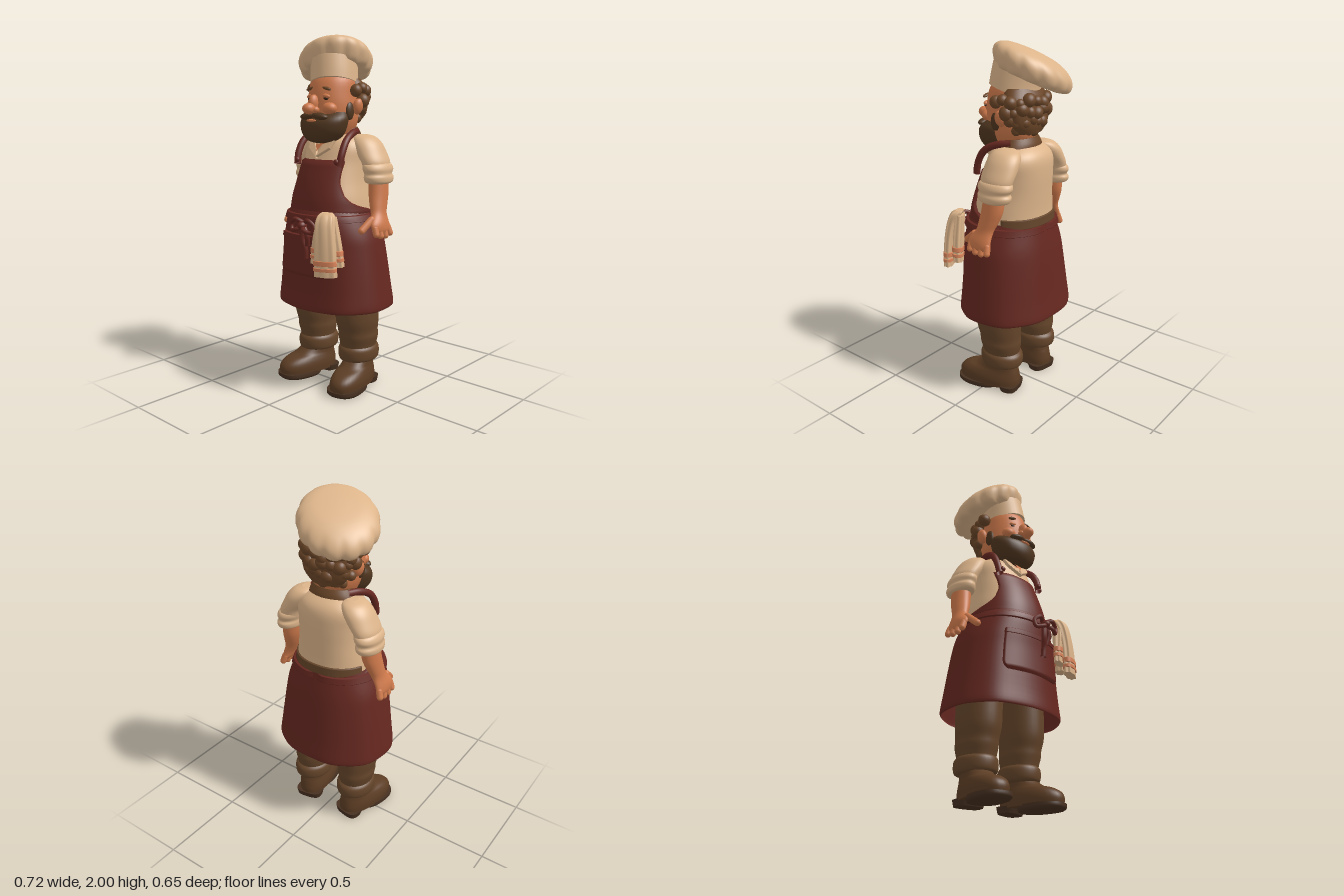
import * as THREE from 'three';

const mat = (name, color, side = THREE.FrontSide) => {
  const m = new THREE.MeshStandardMaterial({ color, side });
  m.name = name;
  return m;
};
const CREAM = mat('cream cloth', 0xdcb48a, THREE.DoubleSide);
const SKIN = mat('skin', 0xcf7a4c);
const MAROON = mat('maroon apron', 0x662820, THREE.DoubleSide);
const PANTS = mat('brown trousers', 0x65452a);
const BOOT = mat('boot leather', 0x5c3d24);
const SOLE = mat('boot sole', 0x463020);
const BEARD = mat('dark beard', 0x513720);
const HAIR = mat('brown hair', 0x6b4628, THREE.DoubleSide);
const DARK = mat('eye brown', 0x3a2416);
const STRIPE = mat('orange stripe', 0xd8835a, THREE.DoubleSide);

// Rings are [y, centre x, half width, back z, front z]; t runs along the list.
function ringAt(rings, t) {
  const i = Math.min(Math.floor(t), rings.length - 2), f = t - i;
  const p = (k) => rings[Math.max(0, Math.min(rings.length - 1, k))];
  const [a, b, c, d] = [p(i - 1), p(i), p(i + 1), p(i + 2)];
  return b.map((v, k) => v + 0.5 * f * (c[k] - a[k]
    + f * (2 * a[k] - 5 * v + 4 * c[k] - d[k] + f * (3 * (v - c[k]) + d[k] - a[k]))));
}
function ringAtY(rings, y) {
  let lo = 0, hi = rings.length - 1;
  for (let k = 0; k < 30; k++) {
    const m = (lo + hi) / 2;
    if (ringAt(rings, m)[0] < y) lo = m; else hi = m;
  }
  return ringAt(rings, lo);
}
// Point on a ring; angle 0 faces +z and n sets how square the ring is
function onRing([y, cx, rx, zb, zf], a, { n = 2, tilt = [0, 0], k = 1, d = 0 } = {}) {
  const pw = (v) => Math.sign(v) * Math.abs(v) ** (2 / n);
  const dx = pw(Math.sin(a)) * (rx * k + d), dz = pw(Math.cos(a)) * ((zf - zb) / 2 * k + d);
  return [cx + dx, y + tilt[0] * dx + tilt[1] * dz, (zb + zf) / 2 + dz];
}
function grid(rows, closed) {
  const g = new THREE.BufferGeometry(), idx = [], w = rows[0].length;
  for (let j = 0; j < rows.length - 1; j++) for (let i = 0; i < (closed ? w : w - 1); i++) {
    const a = j * w + i, b = j * w + (i + 1) % w;
    idx.push(a, b, a + w, b, b + w, a + w);
  }
  g.setAttribute('position', new THREE.Float32BufferAttribute(rows.flat(2), 3));
  g.setIndex(idx);
  g.computeVertexNormals();
  return g;
}
// Smooth body through the rings, with separate end caps
function loft(rings, { seg = 36, sub = 4, caps = true, wave = () => 1, ...o } = {}) {
  const rows = [], N = (rings.length - 1) * sub;
  const row = (j, s = 1) => Array.from({ length: seg }, (_, i) => {
    const a = i / seg * Math.PI * 2;
    return onRing(ringAt(rings, j / sub), a, { ...o, k: s * wave(a, j / N) });
  });
  if (caps) rows.push(row(0, 0.001), row(0));
  for (let j = 0; j <= N; j++) rows.push(row(j));
  if (caps) rows.push(row(N), row(N, 0.001));
  return grid(rows, true);
}
// Padded patch lying on a lofted body between two heights and two angles
function wrap(rings, y0, y1, from, to, d, o = {}) {
  const R = 16, C = 40, rows = [];
  for (let j = 0; j <= R; j++) {
    const y = y0 + (y1 - y0) * j / R, r = ringAtY(rings, y), a = from(y), b = to(y), row = [];
    for (let i = 0; i <= C; i++) {
      const edge = j === 0 || j === R || i === 0 || i === C;
      row.push(onRing(r, a + (b - a) * i / C, { ...o, d: edge ? -0.004 : d }));
    }
    rows.push(row);
  }
  return grid(rows, false);
}
const V = (p) => new THREE.Vector3(...p);
const tube = (pts, r, closed = false) =>
  new THREE.TubeGeometry(new THREE.CatmullRomCurve3(pts.map(V), closed), 32, r, 10, closed);

export function createModel() {
  const root = new THREE.Group();
  const add = (name, geo, m, parent = root) => {
    const mesh = new THREE.Mesh(geo, m);
    mesh.name = name;
    parent.add(mesh);
    return mesh;
  };
  const ball = (name, m, p, s, rz = 0) => {
    const b = add(name, new THREE.SphereGeometry(1, 20, 14), m);
    b.position.set(...p); b.scale.set(...s); b.rotation.z = rz;
    return b;
  };
  const capsule = (name, m, a, b, r) => {
    const dir = V(b).sub(V(a));
    const c = add(name, new THREE.CapsuleGeometry(r, dir.length(), 5, 12), m);
    c.position.copy(V(a).add(V(b)).multiplyScalar(0.5));
    c.quaternion.setFromUnitVectors(new THREE.Vector3(0, 1, 0), dir.normalize());
    return c;
  };
  const side = (s, rings) => rings.map(([y, x, ...r]) => [y, x * s, ...r]);

  // Shirt body and apron
  const torso = [[1.0, 0, .235, -.245, .195], [1.1, 0, .222, -.24, .183], [1.2, 0, .203, -.242, .155],
    [1.3, 0, .195, -.245, .115], [1.38, 0, .195, -.24, .085], [1.43, 0, .165, -.215, .06], [1.47, 0, .1, -.16, .02]];
  const skirt = [[.48, 0, .342, -.325, .23], [.5, 0, .35, -.33, .235], [.6, 0, .338, -.315, .226], [.8, 0, .31, -.29, .218],
    [.9, 0, .292, -.275, .22], [1.0, 0, .256, -.255, .22], [1.045, 0, .238, -.247, .205]];
  const sq = { n: 2.25 };
  add('shirt', loft(torso, sq), CREAM);
  add('apronSkirt', loft(skirt, { ...sq, seg: 64, caps: false, wave: (a, t) => 1 + .008 * (1 - t) * Math.cos(9 * a) }), MAROON);
  const bibEdge = [[1.0, 2.2], [1.04, 1.9], [1.08, 1.3], [1.12, 1.03], [1.2, .86], [1.26, .86], [1.33, .92]];
  const half = (y) => {
    const i = Math.max(1, bibEdge.findIndex((e) => e[0] >= y - 1e-6)), [a, b] = [bibEdge[i - 1], bibEdge[i]];
    return a[1] + (b[1] - a[1]) * (y - a[0]) / (b[0] - a[0]);
  };
  add('apronBib', wrap(torso, 1.01, 1.325, (y) => -half(y), half, .014, sq), MAROON);
  add('trouserWaistband', wrap(torso, 1.02, 1.075, () => 1.9, () => Math.PI * 2 - 1.9, .008, sq), PANTS);
  add('apronTie', wrap(skirt, .985, 1.025, () => -Math.PI, () => Math.PI, .012, sq), MAROON);
  const pocketHalf = (y) => .62 - .1 * Math.max(0, (.72 - y) / .05) ** 2;
  add('pocket', wrap(skirt, .67, .905, (y) => -pocketHalf(y) - .03, (y) => pocketHalf(y) - .03, .013, sq), MAROON);
  add('pocketHem', wrap(skirt, .88, .91, () => -.66, () => .6, .018, sq), MAROON);

  // Bow on the front of the apron
  for (const s of [-1, 1]) {
    const x = (v) => .035 + s * v;
    add('bowLoop', tube([[x(0), .975, .25], [x(.045), 1.005, .275], [x(.085), .975, .265], [x(.075), .94, .27], [x(.03), .95, .29]], .012, true), MAROON);
  }
  add('bowTailLong', tube([[.035, .97, .26], [.03, .9, .262], [.04, .84, .25], [.038, .785, .245]], .016), MAROON);
  add('bowTailShort', tube([[.04, .97, .26], [.065, .92, .262], [.058, .86, .25]], .014), MAROON);
  ball('bowKnot', MAROON, [.035, .972, .268], [.024, .024, .03]);

  // Towel hanging from the tie
  const towel = new THREE.Group();
  towel.name = 'towel';
  towel.position.set(.19, 0, .25);
  towel.rotation.y = .42;
  root.add(towel);
  const folds = (a) => 1 + .09 * Math.cos(7 * a);
  const flaps = [
    [[.715, .012, .062, .01, .062], [.8, .01, .06, .008, .062], [.9, .006, .056, 0, .056], [.99, 0, .052, -.02, .042], [1.035, 0, .046, -.045, .02], [1.052, 0, .03, -.05, -.005]],
    [[.775, -.035, .05, -.03, .012], [.86, -.03, .05, -.03, .015], [.95, -.02, .045, -.04, .02], [1.03, -.01, .035, -.05, .005]],
    [[.76, .06, .035, -.06, -.005], [.88, .045, .035, -.06, .0], [1.03, .02, .03, -.06, -.01]],
  ];
  flaps.forEach((rings) => {
    add('towelFlap', loft(rings, { wave: folds, n: 2.5 }), CREAM, towel);
    for (const [lo, hi] of [[.03, .05], [.06, .09]])
      add('towelStripe', wrap(rings, rings[0][0] + lo, rings[0][0] + hi, () => -Math.PI, () => Math.PI, .0045, { n: 2.5 }), STRIPE, towel);
  });

  // Neck, collar and the strap behind the neck
  add('neck', loft([[1.36, 0, .07, -.13, .06], [1.42, 0, .085, -.14, .075], [1.52, 0, .085, -.14, .05]]), SKIN);
  add('neckStrap', loft([[1.425, 0, .15, -.185, .02], [1.46, 0, .135, -.18, .02], [1.495, 0, .115, -.165, .01]], { tilt: [0, -.08] }), HAIR);
  const lapel = new THREE.Shape([[0, 0], [.075, .055], [.09, .1], [.05, .095], [.015, .04]].map((p) => new THREE.Vector2(...p)));
  for (const s of [-1, 1]) {
    const l = add('collarLapel', new THREE.ExtrudeGeometry(lapel, { depth: .012, bevelSize: .004, bevelThickness: .004, bevelSegments: 2 }), CREAM);
    l.position.set(0, 1.335, s > 0 ? .108 : .12);
    l.rotation.set(-.5, s > 0 ? 0 : Math.PI, 0, 'YXZ');
    if (s < 0) l.rotation.x = .5;
  }
  const chest = add('openCollar', new THREE.CircleGeometry(.03, 3), SKIN);
  chest.position.set(0, 1.395, .1);
  chest.rotation.set(-.5, 0, -Math.PI / 2);

  for (const s of [-1, 1]) {
    // Apron straps with buttons
    add('apronStrap', tube([[s * .16, 1.29, .105], [s * .165, 1.36, .088], [s * .16, 1.43, .045], [s * .14, 1.468, -.03], [s * .11, 1.475, -.1]], .02), MAROON);
    ball('strapButton', MAROON, [s * .15, 1.315, .118], [.016, .016, .014]);

    // Sleeve with rolled cuff
    add('sleeve', loft(side(s, [[1.27, .25, .06, -.2, -.02], [1.31, .243, .066, -.21, -.01], [1.36, .212, .074, -.212, -.008],
      [1.41, .182, .076, -.205, -.015], [1.445, .16, .062, -.18, -.035], [1.46, .148, .03, -.14, -.07]])), CREAM);
    add('sleeveCuff', loft(side(s, [[1.19, .268, .05, -.18, -.04], [1.2, .267, .064, -.205, -.015], [1.225, .266, .067, -.215, -.005], [1.245, .263, .063, -.205, -.012],
      [1.27, .26, .068, -.218, -.002], [1.295, .254, .064, -.21, -.01], [1.31, .248, .05, -.18, -.04]])), CREAM);

    // Forearm and hand
    add('forearm', loft(side(s, [[.925, .336, .014, -.11, .0], [.945, .332, .024, -.128, .018], [.98, .322, .03, -.125, .02], [1.03, .3, .035, -.125, -.015],
      [1.08, .285, .043, -.145, -.025], [1.14, .273, .049, -.165, -.035], [1.22, .264, .05, -.17, -.045]])), SKIN);
    [-.11, -.072, -.034, .002].forEach((z, i) =>
      capsule('finger', SKIN, [s * .331, .955, z], [s * .342, [.918, .908, .91, .922][i], z * 1.06], .0185));
    capsule('thumb', SKIN, [s * .305, 1.0, .0], [s * .29, .945, .065], .02);

    // Trouser leg with rolled hem
    add('trouserLeg', loft(side(s, [[.2, .16, .09, -.17, .04], [.25, .16, .098, -.183, .048], [.3, .162, .108, -.19, .06], [.34, .162, .107, -.188, .066],
      [.42, .163, .116, -.19, .085], [.6, .16, .115, -.19, .09]])), PANTS);
    add('trouserHem', loft(side(s, [[.155, .16, .085, -.17, .03], [.165, .16, .103, -.195, .052], [.195, .16, .109, -.203, .06], [.23, .16, .106, -.198, .058], [.25, .16, .09, -.175, .04]])), PANTS);

    // Boot
    const boot = new THREE.Group();
    boot.name = 'boot';
    boot.position.set(s * .178, 0, 0);
    boot.rotation.y = s * .2;
    root.add(boot);
    add('bootUpper', loft([[.025, 0, .09, -.185, .195], [.06, 0, .093, -.187, .2], [.09, 0, .09, -.183, .185], [.115, 0, .083, -.178, .145],
      [.135, 0, .077, -.172, .08], [.17, 0, .074, -.165, .03]], { n: 2.3 }), BOOT, boot);
    add('bootSole', loft([[0, 0, .09, -.06, .19], [.012, 0, .098, -.065, .203], [.032, 0, .097, -.065, .203]], { n: 2.5 }), SOLE, boot);
    add('bootHeel', loft([[0, 0, .078, -.185, -.085], [.035, 0, .085, -.192, -.07]], { n: 3 }), SOLE, boot);

    // Ear, cheek, eye, brow, moustache
    ball('ear', SKIN, [s * .152, 1.615, -.06], [.026, .045, .034], -s * .2);
    ball('cheek', SKIN, [s * .07, 1.605, .085], [.045, .035, .04]);
    ball('eye', DARK, [s * .058 + .006, 1.658, .108], [.019, .008, .007], -s * .12);
    ball('eyelid', SKIN, [s * .058 + .006, 1.671, .104], [.027, .012, .015], -s * .15);
    ball('brow', HAIR, [s * .062 + .006, 1.712, .104], [.03, .009, .014], -s * .25);
    ball('moustache', BEARD, [s * .045, 1.562, .135], [.055, .02, .03], -s * .12);
  }

  // Head, nose, beard
  add('head', loft([[1.44, 0, .09, -.13, .08], [1.52, 0, .13, -.17, .115], [1.6, 0, .14, -.18, .125], [1.68, 0, .135, -.18, .122],
    [1.76, 0, .125, -.17, .1], [1.82, 0, .09, -.13, .05]]), SKIN);
  ball('noseBridge', SKIN, [0, 1.635, .135], [.024, .045, .035]);
  ball('noseTip', SKIN, [0, 1.603, .175], [.033, .031, .04]);
  for (const s of [-1, 1]) ball('nostril', SKIN, [s * .027, 1.597, .148], [.018, .018, .022]);
  add('beard', loft([[1.415, 0, .045, .02, .12], [1.43, 0, .095, -.02, .145], [1.47, 0, .132, -.045, .163], [1.52, 0, .149, -.055, .163],
    [1.555, 0, .149, -.055, .142], [1.585, 0, .13, -.05, .1]], { wave: (a) => 1 + .008 * Math.cos(15 * a) }), BEARD);
  for (const s of [-1, 1]) ball('sideburn', BEARD, [s * .133, 1.59, -.012], [.018, .05, .032]);
  ball('mouth', SKIN, [0, 1.538, .156], [.035, .008, .012]);

  // Curly hair round the back of the head
  add('hairBase', loft([[1.53, 0, .1, -.19, -.06], [1.58, 0, .135, -.205, -.08], [1.66, 0, .155, -.205, -.06], [1.72, 0, .155, -.2, -.02], [1.77, 0, .12, -.17, -.02]]), HAIR);
  const rowsOfCurls = [[1.55, 7, .95, .115, .028], [1.6, 9, 1.2, .142, .032], [1.655, 10, 1.3, .16, .033], [1.705, 12, 1.75, .162, .032]];
  rowsOfCurls.forEach(([y, count, span, r, size], j) => {
    for (let i = 0; i < count; i++) {
      const a = Math.PI + span * (2 * i / (count - 1) - 1), k = size * (1 + .15 * Math.sin(i * 2.7 + j));
      ball('curl', HAIR, [r * Math.sin(a), y + .012 * Math.sin(i * 1.9 + j * 2), -.06 + r * .9 * Math.cos(a)], [k, k * 1.1, k], i);
    }
  });

  // Tilted hat with a gathered crown
  add('hatBand', loft([[1.735, 0, .13, -.18, .108], [1.79, -.006, .129, -.18, .1], [1.86, -.018, .13, -.19, .09]], { tilt: [.2, .25] }), CREAM);
  add('hatCrown', loft([[1.825, -.025, .125, -.19, .07], [1.803, -.045, .175, -.27, .08], [1.82, -.057, .205, -.313, .095], [1.87, -.06, .214, -.325, .102],
    [1.915, -.059, .19, -.3, .08], [1.945, -.057, .135, -.245, .025], [1.957, -.056, .06, -.17, -.05], [1.96, -.056, .004, -.114, -.106]],
  { seg: 104, sub: 5, tilt: [.3, .31], wave: (a, t) => 1 - .1 * Math.max(0, 1 - t / .62) ** .8 * Math.abs(Math.cos(6.5 * a)) ** 4 }), CREAM);
  return root;
}
